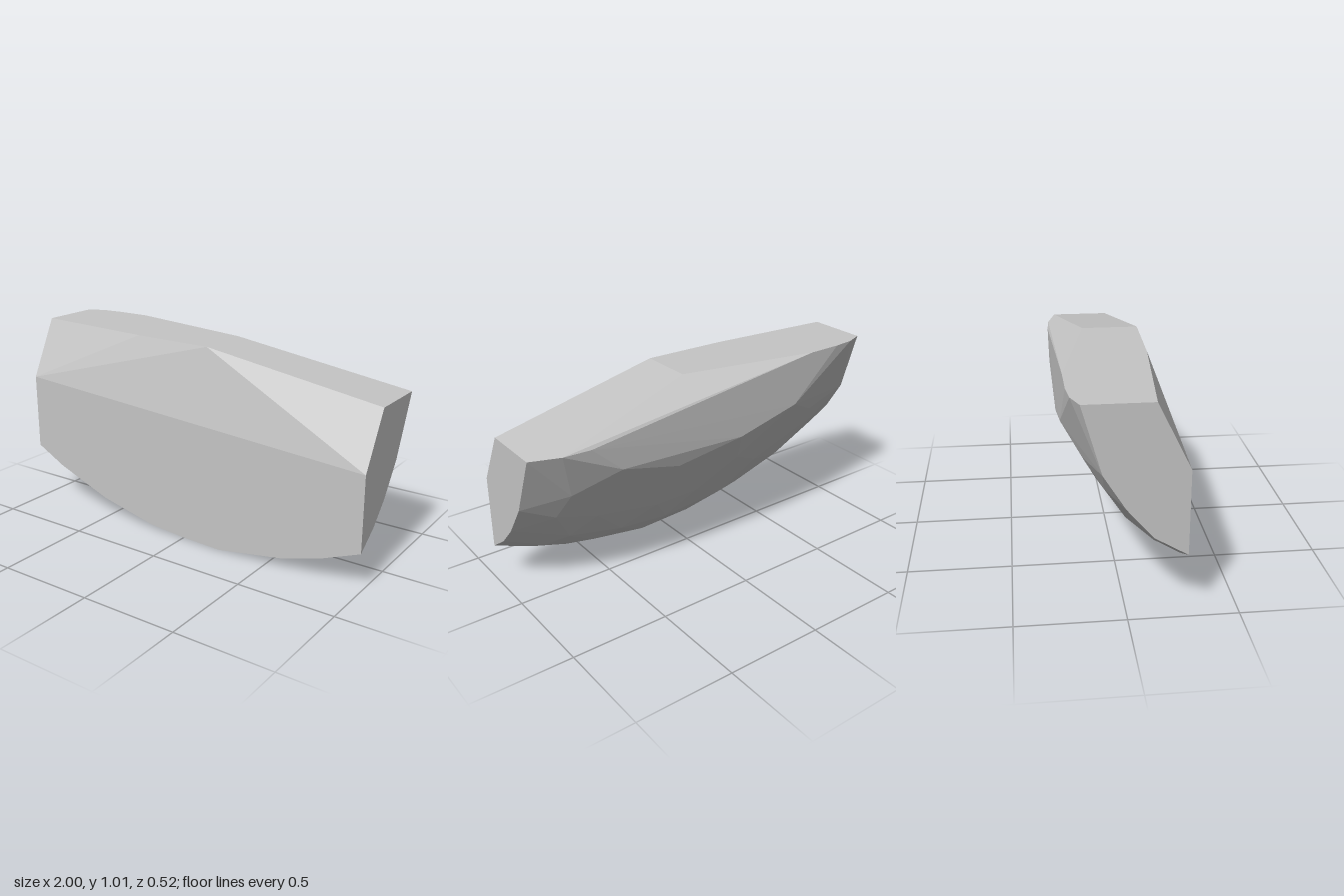
import * as THREE from 'three';
import { ConvexGeometry } from 'three/addons/geometries/ConvexGeometry.js';

// A broken stone chunk: flat front, sheared top and ends, rounded back.
export function createModel() {
  const group = new THREE.Group();
  group.name = 'stoneChunk';
  const stone = new THREE.MeshStandardMaterial({ color: 0xc5c5c5, flatShading: true });
  stone.name = 'light grey stone';

  const points = [];
  const add = (x, y, z) => points.push(new THREE.Vector3(x, y, z));

  // Lower edge of the front face: [x, y]
  const keel = [[-1, 0.31], [-0.83, 0.22], [-0.65, 0.15], [-0.52, 0.1], [-0.2, 0.025],
    [0, 0.008], [0.23, 0], [0.6, 0.06], [0.8, 0.12], [1, 0.2]];
  keel.forEach(([x, y]) => add(x, y, 0.26));
  const keelHeight = (x) => {
    const i = Math.max(1, keel.findIndex((k) => k[0] >= x));
    const [a, b] = [keel[i - 1], keel[i]];
    return a[1] + (b[1] - a[1]) * (x - a[0]) / (b[0] - a[0]);
  };

  // Upper edge of the front face
  add(-1, 0.71, 0.26);
  add(1, 0.58, 0.26);

  // Corners of the sheared top: [x, y, z]
  [[-1, 1.013, 0.11], [-0.33, 1.013, 0.168], [0.1, 1.013, 0.18], [1, 0.85, 0.11],
    [0.1, 1.013, -0.1], [1, 0.85, -0.2], [-0.62, 1.013, -0.247], [-0.8, 1.013, -0.246],
    [-0.91, 1.013, -0.235], [-1, 1.013, -0.2]].forEach((p) => add(...p));

  // Nearly flat upper back: [x, y, z]
  [[0.85, 0.845, -0.243], [0.71, 0.845, -0.253], [0.55, 0.7, -0.253], [0.22, 0.61, -0.235],
    [-0.15, 0.67, -0.257], [-0.51, 0.755, -0.255]].forEach((p) => add(...p));

  // Curved back edges of the two flat ends: [z, y]
  [[0.11, 0.4], [-0.01, 0.54], [-0.11, 0.7]].forEach(([z, y]) => add(-1, y, z));
  [[0.14, 0.285], [0.04, 0.39], [-0.07, 0.55]].forEach(([z, y]) => add(1, y, z));

  // Rounded lower back: staggered rows that rise with the lower edge, [z, height, x stations]
  const rows = [
    [0.14, 0.07, [-0.8, -0.45, -0.1, 0.2, 0.5, 0.78]],
    [0.03, 0.17, [-0.65, -0.25, 0.12, 0.4, 0.7]],
    [-0.08, 0.33, [-0.78, -0.4, 0, 0.25, 0.6, 0.82]],
    [-0.17, 0.485, [-0.7, -0.2, 0.4, 0.78]],
  ];
  for (const [z, height, stations] of rows) {
    for (const x of stations) add(x, keelHeight(x) + height, z);
  }

  const chunk = new THREE.Mesh(new ConvexGeometry(points), stone);
  chunk.name = 'chunk';
  group.add(chunk);
  return group;
}
